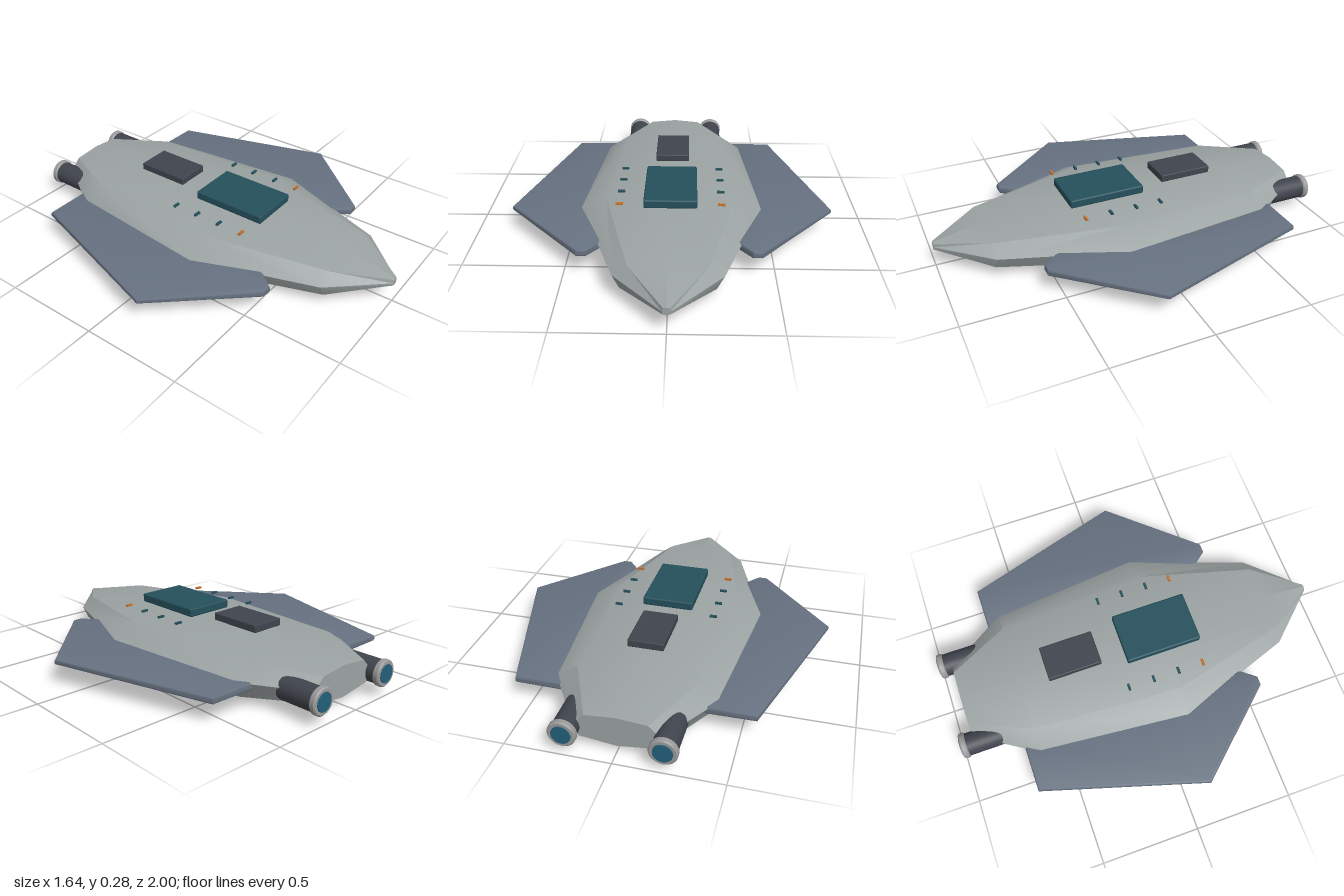
import * as THREE from 'three';
import { toCreasedNormals } from 'three/addons/utils/BufferGeometryUtils.js';
import { RoundedBoxGeometry } from 'three/addons/geometries/RoundedBoxGeometry.js';

const paint = (color) => new THREE.MeshStandardMaterial({ color });
const hullGrey = paint(0x9ca3a3), wingGrey = paint(0x667180), darkGrey = paint(0x40444d);
const teal = paint(0x25505c), glow = paint(0x23607a), amber = paint(0xc4702a), ringGrey = paint(0x9a9a9a);

function add(parent, name, geometry, material, x = 0, y = 0, z = 0) {
  const mesh = new THREE.Mesh(geometry, material);
  mesh.name = name;
  mesh.position.set(x, y, z);
  parent.add(mesh);
  return mesh;
}

// Lofted hull: faceted eight-point sections from nose to stern
function hullGeometry() {
  // z, half width, keel, lower chine, widest line, shoulder, ridge
  const stations = [
    [1.0, 0.018, 0.1, 0.105, 0.12, 0.136, 0.14],
    [0.75, 0.25, 0.036, 0.06, 0.125, 0.175, 0.188],
    [0.15, 0.46, 0.003, 0.037, 0.135, 0.2, 0.225],
    [-0.62, 0.395, 0.012, 0.045, 0.13, 0.2, 0.219],
    [-0.925, 0.2, 0.038, 0.06, 0.125, 0.18, 0.193],
  ];
  const rings = stations.map(([z, w, keel, chine, mid, shoulder, ridge]) => [
    [0, keel, z], [0.87 * w, chine, z], [w, mid, z], [0.72 * w, shoulder, z],
    [0, ridge, z], [-0.72 * w, shoulder, z], [-w, mid, z], [-0.87 * w, chine, z],
  ]);
  const positions = [];
  const tri = (a, b, c) => positions.push(...a, ...b, ...c);
  const n = 8;
  for (let s = 0; s < rings.length - 1; s++) {
    for (let i = 0; i < n; i++) {
      const j = (i + 1) % n, f = rings[s], b = rings[s + 1];
      // mirrored diagonals keep both sides symmetric
      if (i < 4) { tri(f[i], b[i], b[j]); tri(f[i], b[j], f[j]); }
      else { tri(f[i], b[i], f[j]); tri(b[i], b[j], f[j]); }
    }
  }
  // flat end caps
  const nose = rings[0], stern = rings[rings.length - 1];
  for (let i = 1; i < n - 1; i++) {
    tri(nose[0], nose[i], nose[i + 1]);
    tri(stern[0], stern[i + 1], stern[i]);
  }
  const geometry = new THREE.BufferGeometry();
  geometry.setAttribute('position', new THREE.Float32BufferAttribute(positions, 3));
  return toCreasedNormals(geometry, 0.5);
}

// Bevelled wing plate that thins toward its tip
function wingGeometry(side) {
  const outline = [[0.34, -0.68], [0.565, -0.68], [0.808, 0.13], [0.43, 0.552], [0.395, 0.552], [0.33, 0.47]];
  const shape = new THREE.Shape(outline.map(([x, z]) => new THREE.Vector2(side * x, -z)));
  const geometry = new THREE.ExtrudeGeometry(shape, {
    depth: 0.016, bevelEnabled: true, bevelThickness: 0.012, bevelSize: 0.012, bevelSegments: 2,
  });
  geometry.translate(0, 0, -0.008).rotateX(-Math.PI / 2);
  const p = geometry.attributes.position;
  for (let i = 0; i < p.count; i++) {
    const t = THREE.MathUtils.clamp((Math.abs(p.getX(i)) - 0.33) / 0.5, 0, 1);
    p.setY(i, p.getY(i) * (1 - 0.35 * t));
  }
  return toCreasedNormals(geometry, 0.6);
}

function createEngine(side) {
  const engine = new THREE.Group();
  engine.name = side > 0 ? 'leftEngine' : 'rightEngine';
  engine.position.set(side * 0.225, 0.11, 0);
  const drum = (r, length) => new THREE.CylinderGeometry(r, r, length, 32).rotateX(Math.PI / 2);
  add(engine, 'engineBarrel', drum(0.059, 0.2), darkGrey, 0, 0, -0.88);
  // rounded nozzle ring turned on a lathe
  const profile = [[0.046, -0.016], [0.06, -0.016], [0.066, -0.01], [0.066, 0.01], [0.06, 0.016], [0.046, 0.016], [0.046, -0.016]]
    .map(([r, h]) => new THREE.Vector2(r, h));
  const ring = toCreasedNormals(new THREE.LatheGeometry(profile, 32).rotateX(Math.PI / 2), 0.6);
  add(engine, 'nozzleRing', ring, ringGrey, 0, 0, -0.98);
  add(engine, 'nozzleGlow', drum(0.045, 0.04), glow, 0, 0, -0.98);
  return engine;
}

export function createModel() {
  const model = new THREE.Group();
  model.name = 'spacecraft';
  add(model, 'hull', hullGeometry(), hullGrey);

  // Raised deck panels
  add(model, 'canopy', new RoundedBoxGeometry(0.262, 0.044, 0.394, 2, 0.008), teal, 0, 0.253, 0.134);
  add(model, 'rearHatch', new RoundedBoxGeometry(0.178, 0.038, 0.28, 2, 0.005), darkGrey, 0, 0.261, -0.33);

  for (const side of [1, -1]) {
    add(model, side > 0 ? 'leftWing' : 'rightWing', wingGeometry(side), wingGrey, 0, 0.117, 0);
    model.add(createEngine(side));
    // Row of deck lights, the front one amber
    [0.3, 0.167, 0.033, -0.1].forEach((z, i) => {
      add(model, 'deckLight', new THREE.BoxGeometry(0.036, 0.01, 0.012), i === 0 ? amber : teal, side * 0.25, 0.24, z);
    });
  }
  return model;
}
